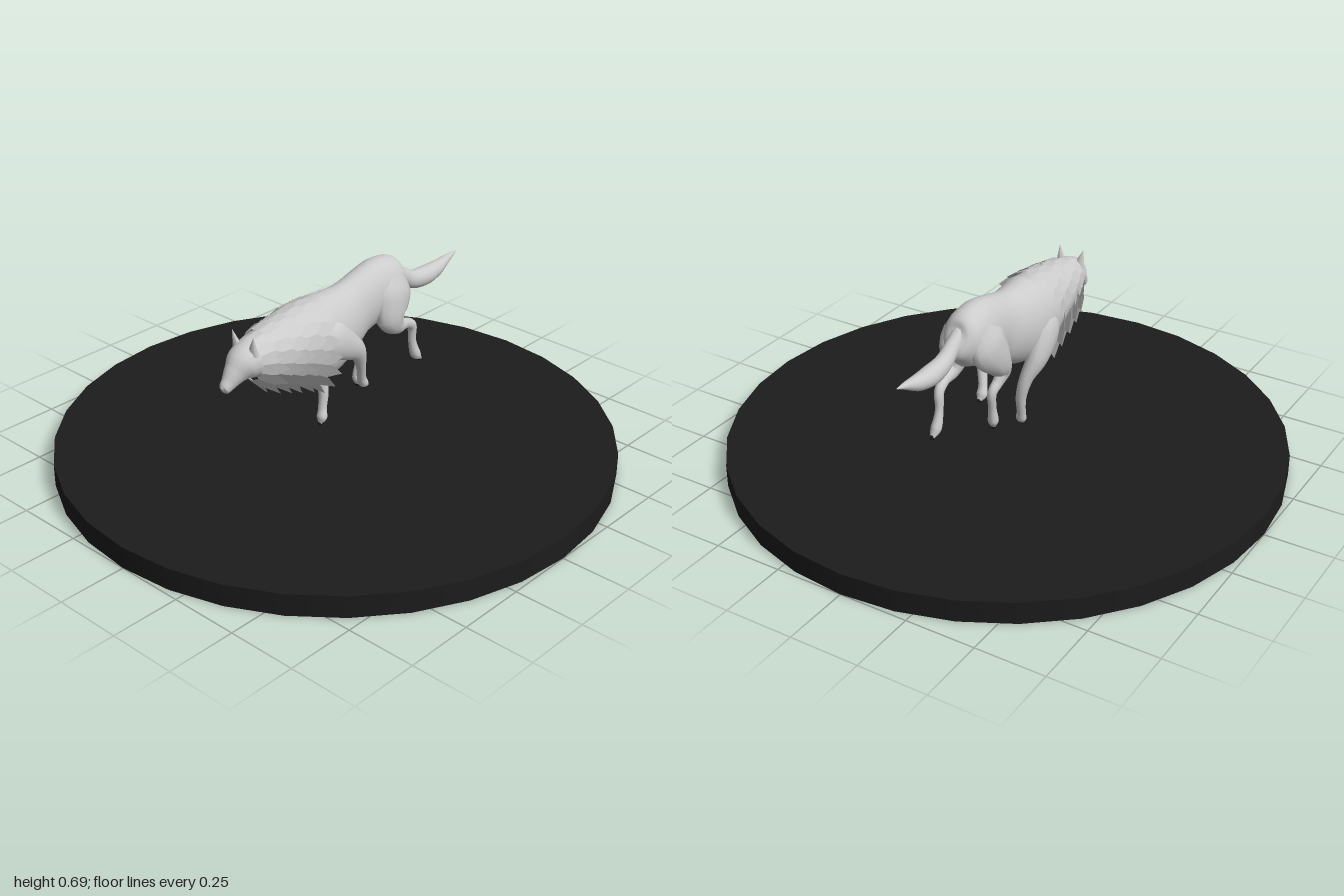
import * as THREE from 'three';

const grey = new THREE.MeshStandardMaterial({ color: 0xcccccc });
const dark = new THREE.MeshStandardMaterial({ color: 0x1c1c1c });
const fur = new THREE.MeshStandardMaterial({ color: 0xcccccc, side: THREE.DoubleSide, flatShading: true });

function add(parent, name, geometry, material = grey) {
  const mesh = new THREE.Mesh(geometry, material);
  mesh.name = name;
  parent.add(mesh);
  return mesh;
}

// Smooth skin over elliptical sections [x, y, z, halfWidth, halfDepth]
function loft(sections, sides = 16, steps = 5) {
  const path = new THREE.CatmullRomCurve3(sections.map(s => new THREE.Vector3(s[0], s[1], s[2])));
  const size = new THREE.CatmullRomCurve3(sections.map(s => new THREE.Vector3(s[3], s[4], 0)));
  const rings = (sections.length - 1) * steps;
  const positions = [], index = [];
  for (let i = 0; i <= rings; i++) {
    const t = i / rings;
    const c = path.getPoint(t), r = size.getPoint(t), tangent = path.getTangent(t);
    const side = new THREE.Vector3(1, 0, 0).addScaledVector(tangent, -tangent.x).normalize();
    const up = new THREE.Vector3().crossVectors(tangent, side);
    for (let j = 0; j < sides; j++) {
      const a = j / sides * Math.PI * 2;
      const p = c.clone()
        .addScaledVector(side, Math.cos(a) * Math.max(r.x, 0.001))
        .addScaledVector(up, Math.sin(a) * Math.max(r.y, 0.001));
      positions.push(p.x, p.y, p.z);
      if (i === rings) continue;
      const k = i * sides + j, n = i * sides + (j + 1) % sides;
      index.push(k, n, k + sides, n, n + sides, k + sides);
    }
  }
  const g = new THREE.BufferGeometry();
  g.setAttribute('position', new THREE.Float32BufferAttribute(positions, 3));
  g.setIndex(index);
  g.computeVertexNormals();
  return g;
}

// Ring of overlapping pointed fur plates, lifting away from the chest
function furRing([z, cy, rx, ry], count, offset) {
  const positions = [], index = [];
  const point = (a, back, lift) => positions.push(
    Math.sin(a) * (rx + lift), cy + Math.cos(a) * (ry + lift), z - back);
  for (let i = 0; i < count; i++) {
    const a = (i + offset) / count * Math.PI * 2;
    const half = Math.PI / count * 1.15;
    const down = (1 - Math.cos(a)) / 2;
    const lift = 0.008 + 0.072 * down ** 1.5;
    const k = positions.length / 3;
    point(a - half, 0, -0.004);
    point(a + half, 0, -0.004);
    point(a + half * 0.95, 0.05, lift * 0.55);
    point(a, 0.085, lift);
    point(a - half * 0.95, 0.05, lift * 0.55);
    index.push(k, k + 1, k + 2, k, k + 2, k + 4, k + 4, k + 2, k + 3);
  }
  const g = new THREE.BufferGeometry();
  g.setAttribute('position', new THREE.Float32BufferAttribute(positions, 3));
  g.setIndex(index);
  g.computeVertexNormals();
  return g;
}

export function createModel() {
  const model = new THREE.Group();

  // Round stand
  add(model, 'base', new THREE.CylinderGeometry(1, 1, 0.08, 32), dark).position.y = 0.04;

  const wolf = new THREE.Group();
  wolf.name = 'wolf';
  model.add(wolf);

  // Trunk, from rump to neck
  add(wolf, 'body', loft([
    [0, 0.6, -0.345, 0.002, 0.002],
    [0, 0.59, -0.325, 0.045, 0.06],
    [0, 0.585, -0.28, 0.072, 0.1],
    [0, 0.575, -0.2, 0.077, 0.118],
    [0, 0.55, -0.1, 0.074, 0.118],
    [0, 0.515, 0, 0.092, 0.142],
    [0, 0.497, 0.1, 0.11, 0.157],
    [0, 0.51, 0.21, 0.108, 0.132],
    [0, 0.525, 0.33, 0.088, 0.095],
    [0, 0.535, 0.42, 0.055, 0.06],
  ], 24));

  // Head and muzzle
  add(wolf, 'head', loft([
    [0, 0.535, 0.35, 0.06, 0.07],
    [0, 0.535, 0.41, 0.064, 0.07],
    [0, 0.525, 0.45, 0.058, 0.062],
    [0, 0.505, 0.482, 0.038, 0.045],
    [0, 0.48, 0.512, 0.025, 0.03],
    [0, 0.463, 0.535, 0.018, 0.02],
    [0, 0.459, 0.543, 0.002, 0.002],
  ]));
  const nose = add(wolf, 'nose', new THREE.SphereGeometry(0.011, 10, 8));
  nose.position.set(0, 0.472, 0.537);
  for (const s of [-1, 1]) {
    const ear = add(wolf, 'ear', new THREE.ConeGeometry(0.024, 0.07, 8));
    ear.scale.z = 0.6;
    ear.position.set(s * 0.042, 0.6, 0.438);
    ear.rotation.set(0.15, 0, -s * 0.2);
    const eye = add(wolf, 'eye', new THREE.SphereGeometry(0.007, 8, 6));
    eye.position.set(s * 0.033, 0.53, 0.482);
  }

  // Layered mane
  const mane = new THREE.Group();
  mane.name = 'mane';
  wolf.add(mane);
  [
    [0.42, 0.53, 0.072, 0.078],
    [0.37, 0.53, 0.09, 0.094],
    [0.32, 0.525, 0.1, 0.107],
    [0.26, 0.52, 0.109, 0.122],
    [0.21, 0.512, 0.114, 0.136],
  ].forEach((ring, i) => add(mane, 'furLayer', furRing(ring, 14 + i, (i % 2) / 2), fur));

  // Tail
  add(wolf, 'tail', loft([
    [0, 0.61, -0.29, 0.03, 0.035],
    [0, 0.585, -0.34, 0.026, 0.03],
    [0, 0.548, -0.4, 0.03, 0.034],
    [0, 0.538, -0.47, 0.034, 0.037],
    [0, 0.545, -0.54, 0.028, 0.03],
    [0, 0.566, -0.61, 0.013, 0.014],
    [0, 0.578, -0.66, 0.001, 0.001],
  ]));

  // Legs in mid-gallop, from the trunk down to the toes
  const legs = {
    frontLeftLeg: [
      [0.06, 0.55, 0.16, 0.03, 0.04],
      [0.08, 0.515, 0.11, 0.045, 0.075],
      [0.09, 0.475, 0.045, 0.035, 0.055],
      [0.085, 0.425, -0.02, 0.026, 0.035],
      [0.07, 0.355, -0.055, 0.018, 0.02],
      [0.055, 0.295, -0.075, 0.016, 0.017],
      [0.05, 0.265, -0.09, 0.02, 0.018],
      [0.05, 0.248, -0.108, 0.008, 0.006],
    ],
    frontRightLeg: [
      [-0.06, 0.54, 0.15, 0.03, 0.04],
      [-0.08, 0.47, 0.12, 0.045, 0.07],
      [-0.085, 0.38, 0.06, 0.035, 0.05],
      [-0.065, 0.31, 0.02, 0.024, 0.028],
      [-0.05, 0.235, 0.01, 0.019, 0.02],
      [-0.045, 0.17, 0.02, 0.016, 0.016],
      [-0.04, 0.14, 0.028, 0.02, 0.018],
      [-0.04, 0.117, 0.038, 0.008, 0.006],
    ],
    backLeftLeg: [
      [0.045, 0.63, -0.25, 0.03, 0.05],
      [0.055, 0.56, -0.235, 0.045, 0.085],
      [0.064, 0.485, -0.22, 0.04, 0.068],
      [0.064, 0.438, -0.25, 0.028, 0.035],
      [0.058, 0.423, -0.31, 0.018, 0.02],
      [0.055, 0.4, -0.345, 0.017, 0.019],
      [0.05, 0.335, -0.355, 0.014, 0.016],
      [0.05, 0.275, -0.375, 0.019, 0.02],
      [0.052, 0.248, -0.398, 0.01, 0.007],
    ],
    backRightLeg: [
      [-0.045, 0.62, -0.25, 0.03, 0.05],
      [-0.055, 0.55, -0.22, 0.045, 0.085],
      [-0.064, 0.47, -0.165, 0.038, 0.06],
      [-0.06, 0.41, -0.125, 0.026, 0.034],
      [-0.055, 0.375, -0.15, 0.019, 0.022],
      [-0.05, 0.345, -0.18, 0.016, 0.018],
      [-0.045, 0.28, -0.172, 0.014, 0.016],
      [-0.042, 0.225, -0.162, 0.019, 0.02],
      [-0.04, 0.2, -0.16, 0.01, 0.008],
    ],
  };
  for (const [name, sections] of Object.entries(legs)) {
    const leg = new THREE.Group();
    leg.name = name;
    wolf.add(leg);
    add(leg, 'limb', loft(sections, 12));
    // Toe cap closing the paw
    const [x, y, z, w] = sections.at(-1);
    const toe = add(leg, 'claws', new THREE.SphereGeometry(w, 8, 6), dark);
    toe.position.set(x, y, z);
  }

  return model;
}
